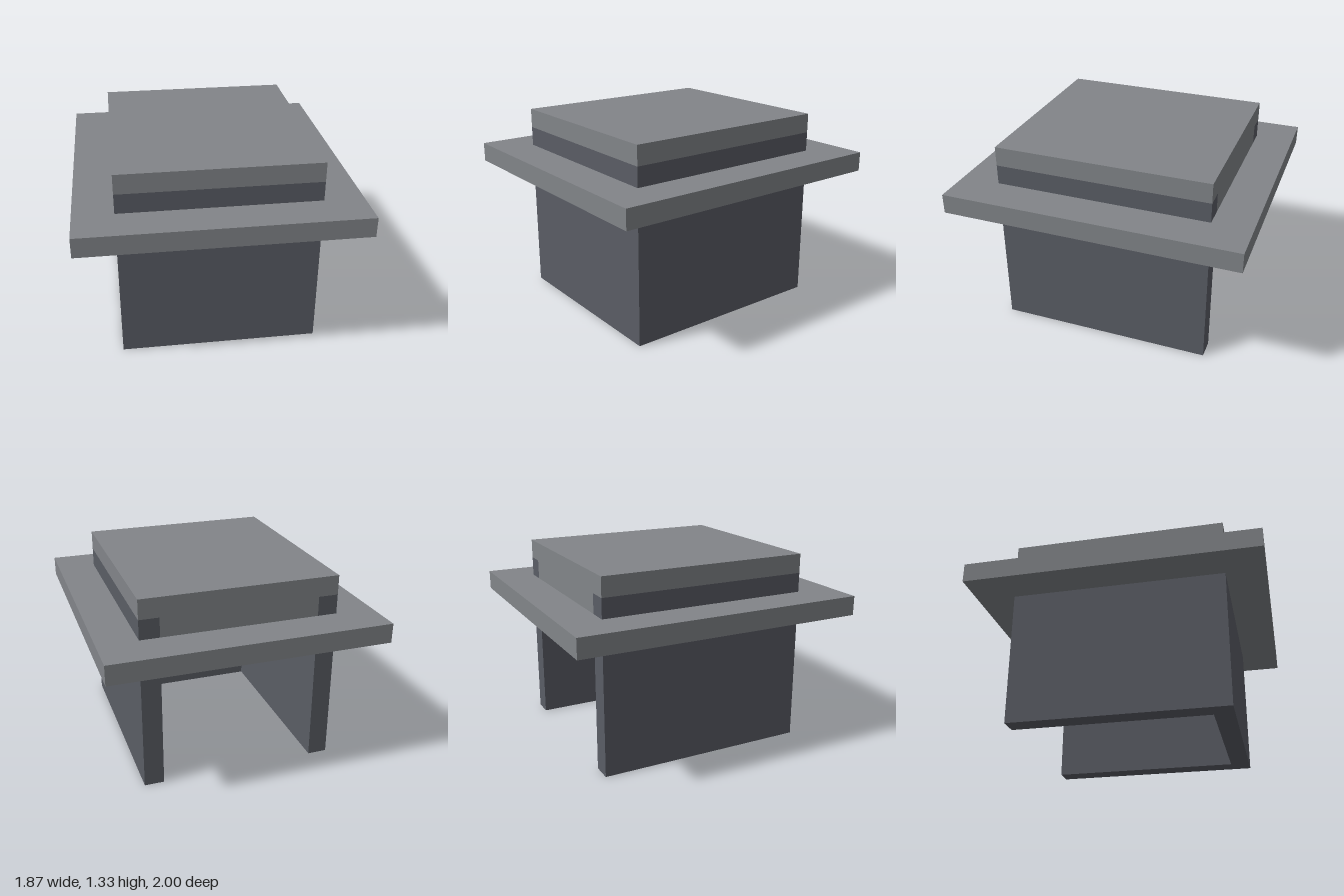
import * as THREE from 'three';

const U = 2 / 15; // wall and plate thickness
const HX = 5 * U, HZ = 5.5 * U; // half width and half depth of the walls

export function createModel() {
  const model = new THREE.Group();
  const lightGrey = new THREE.MeshStandardMaterial({ color: 0x828589 });
  lightGrey.name = 'light grey';
  const darkGrey = new THREE.MeshStandardMaterial({ color: 0x5a5d65 });
  darkGrey.name = 'dark grey';

  const add = (name, geometry, material, x, y, z) => {
    const mesh = new THREE.Mesh(geometry, material);
    mesh.name = name;
    mesh.position.set(x, y, z);
    model.add(mesh);
  };

  const rectangle = (hx, hz, Type) => new Type([
    new THREE.Vector2(-hx, -hz), new THREE.Vector2(hx, -hz),
    new THREE.Vector2(hx, hz), new THREE.Vector2(-hx, hz),
  ]);

  // Extrude a plan outline upwards; plan y points to the back
  const plate = (shape, height) =>
    new THREE.ExtrudeGeometry(shape, { depth: height, bevelEnabled: false }).rotateX(-Math.PI / 2);

  // Wall plan with three sides, open at the back
  const wallPlan = () => new THREE.Shape([
    [-HX, -HZ], [HX, -HZ], [HX, HZ], [HX - U, HZ],
    [HX - U, U - HZ], [U - HX, U - HZ], [U - HX, HZ], [-HX, HZ],
  ].map(([x, y]) => new THREE.Vector2(x, y)));

  add('lowerWalls', plate(wallPlan(), 7 * U), darkGrey, 0, 0, 0);

  // Wide rim with an opening the size of the walls
  const rim = rectangle(7 * U, 7.5 * U, THREE.Shape);
  rim.holes.push(rectangle(HX, HZ, THREE.Path));
  add('rim', plate(rim, U), lightGrey, 0, 7 * U, 0);

  // Short walls above the rim, closed at the back by a lintel
  add('upperWalls', plate(wallPlan(), U), darkGrey, 0, 8 * U, 0);
  add('backLintel', new THREE.BoxGeometry(2 * (HX - U), U, U), lightGrey, 0, 8.5 * U, U / 2 - HZ);

  add('topSlab', new THREE.BoxGeometry(2 * HX, U, 2 * HZ), lightGrey, 0, 9.5 * U, 0);

  return model;
}
